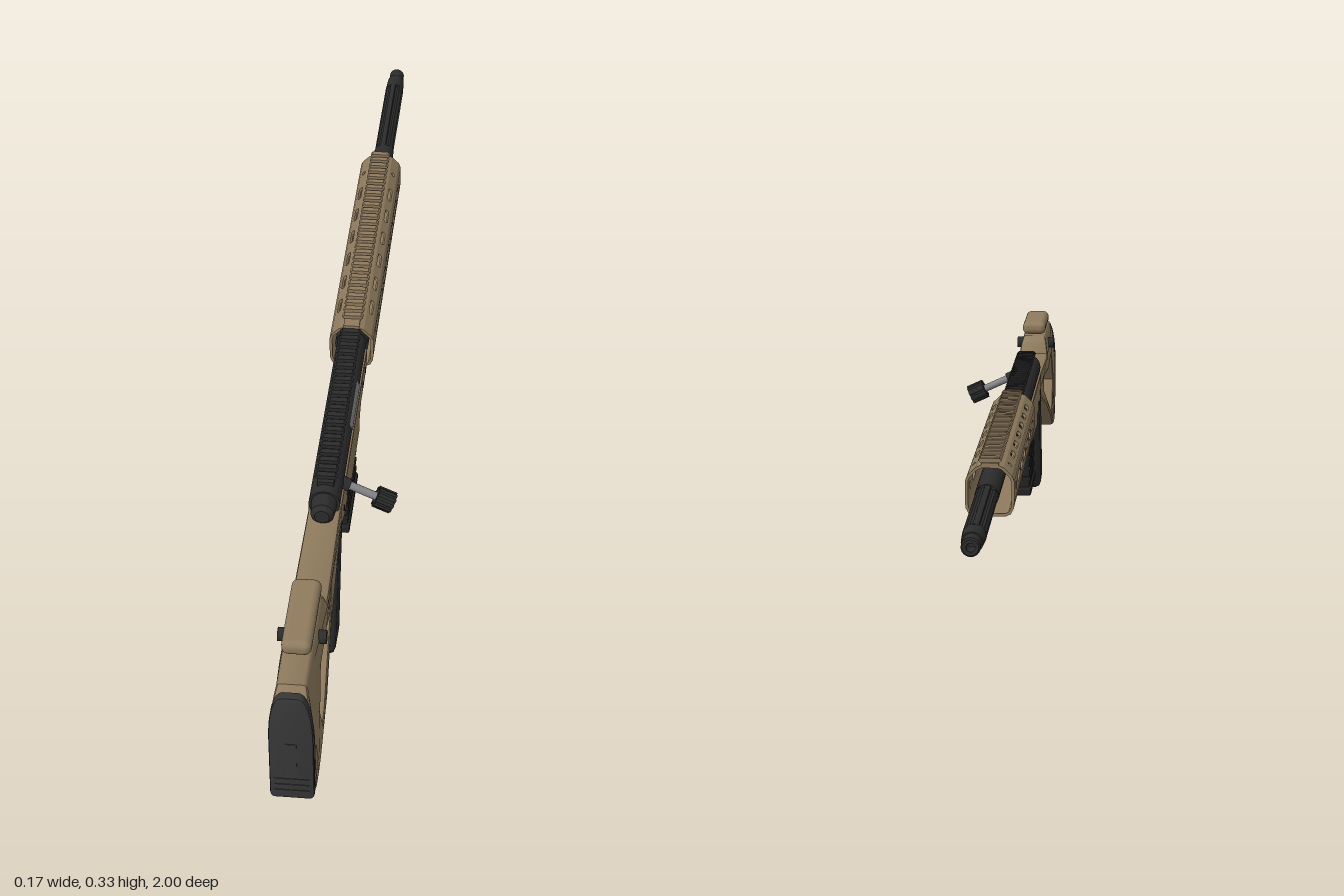
import * as THREE from 'three';
import { toCreasedNormals } from 'three/addons/utils/BufferGeometryUtils.js';
import { RoundedBoxGeometry } from 'three/addons/geometries/RoundedBoxGeometry.js';

const CX = -0.042; // centre plane of the rifle
const AXIS_Y = 0.278; // bore height

const mat = (name, color) => Object.assign(new THREE.MeshStandardMaterial({ color }), { name });

export function createModel() {
  const tan = mat('tan', 0x8f7b5e);
  const black = mat('black', 0x2c2c2c);
  const rubber = mat('rubber', 0x383838);
  const magBlack = mat('magazineBlack', 0x232323);
  const steel = mat('steel', 0x85858a);
  const root = new THREE.Group();
  root.name = 'boltActionRifle';

  const add = (name, geo, material, x = 0, y = 0, z = 0, parent = root) => {
    const m = new THREE.Mesh(geo, material);
    m.name = name;
    m.position.set(x, y, z);
    parent.add(m);
    return m;
  };
  const group = (name) => {
    const g = new THREE.Group();
    g.name = name;
    root.add(g);
    return g;
  };
  const vectors = (pts) => pts.map(([a, b]) => new THREE.Vector2(a, b));
  const outline = (pts) => new THREE.Shape(vectors(pts));
  const hole = (pts) => new THREE.Path(vectors(pts));

  // Side profile of [z, y] points, extruded across the width and centred on x = 0
  const side = (pts, width, bevel = 0.004, holes = []) => {
    const s = outline(pts);
    s.holes = holes;
    const depth = width - 2 * bevel;
    const g = new THREE.ExtrudeGeometry(s, {
      depth, bevelThickness: bevel, bevelSize: bevel, bevelOffset: -bevel, bevelSegments: 2, curveSegments: 10,
    });
    return g.translate(0, 0, -depth / 2).rotateY(-Math.PI / 2);
  };
  // Round bar along z
  const barZ = (r0, r1, z0, z1, n = 24) =>
    new THREE.CylinderGeometry(r1, r0, z1 - z0, n).rotateX(Math.PI / 2).translate(0, 0, (z0 + z1) / 2);
  // Round bar between two points
  const rod = (name, a, b, r, material, n = 16, parent = root) => {
    const A = new THREE.Vector3(...a), d = new THREE.Vector3(...b).sub(A);
    const m = add(name, new THREE.CylinderGeometry(r, r, d.length(), n), material, 0, 0, 0, parent);
    m.position.copy(A).addScaledVector(d, 0.5);
    m.quaternion.setFromUnitVectors(new THREE.Vector3(0, 1, 0), d.normalize());
  };

  // --- Skeleton stock: narrower towards the front and towards the comb
  const slingHole = new THREE.Path().absarc(0.945, 0.085, 0.009, 0, Math.PI * 2, true);
  const stock = side(
    [[0.985, 0.275], [0.968, 0.297], [0.76, 0.297], [0.742, 0.285], [0.73, 0.262], [0.7, 0.256], [0.47, 0.262],
      [0.45, 0.225], [0.517, 0.207], [0.68, 0.16], [0.8, 0.108], [0.9, 0.064], [0.93, 0.058], [0.972, 0.06],
      [0.985, 0.075], [0.985, 0.2]],
    0.074, 0.007,
    [hole([[0.858, 0.236], [0.897, 0.172], [0.86, 0.108], [0.835, 0.112], [0.642, 0.2], [0.638, 0.222], [0.66, 0.226],
      [0.735, 0.224], [0.775, 0.236]]), slingHole]);
  const p = stock.attributes.position;
  for (let i = 0; i < p.count; i++) {
    const rear = THREE.MathUtils.smoothstep(p.getZ(i), 0.62, 0.78);
    const up = THREE.MathUtils.clamp((p.getY(i) - 0.2) / 0.1, 0, 1);
    p.setX(i, p.getX(i) * (0.78 + 0.22 * rear) * (1 - 0.38 * up * up * rear));
  }
  add('stock', toCreasedNormals(stock, 0.6), tan, CX);

  // --- Butt pad with a tapered, rounded top and shallow ridges
  const pad = new THREE.Shape();
  pad.moveTo(-0.027, 0.066);
  pad.lineTo(0.027, 0.066);
  pad.quadraticCurveTo(0.037, 0.066, 0.037, 0.078);
  pad.lineTo(0.037, 0.205);
  pad.bezierCurveTo(0.036, 0.25, 0.03, 0.295, 0.012, 0.295);
  pad.lineTo(-0.012, 0.295);
  pad.bezierCurveTo(-0.03, 0.295, -0.036, 0.25, -0.037, 0.205);
  pad.lineTo(-0.037, 0.078);
  pad.quadraticCurveTo(-0.037, 0.066, -0.027, 0.066);
  add('buttPad', toCreasedNormals(new THREE.ExtrudeGeometry(pad, {
    depth: 0.009, bevelThickness: 0.004, bevelSize: 0.004, bevelOffset: -0.004, bevelSegments: 2,
  }), 0.7), rubber, CX, 0, 0.986);
  for (let i = 0; i < 3; i++) add('padRidge', new THREE.BoxGeometry(0.058, 0.003, 0.003), rubber, CX, 0.085 + i * 0.013, 0.9985);
  add('padInset', new THREE.BoxGeometry(0.018, 0.075, 0.002), rubber, CX, 0.155, 0.999);

  // --- Cheek rest on two posts, with clamp knobs
  add('cheekRest', new RoundedBoxGeometry(0.05, 0.028, 0.165, 4, 0.012), tan, CX, 0.316, 0.828);
  for (const z of [0.79, 0.865]) rod('cheekPost', [CX, 0.28, z], [CX, 0.31, z], 0.009, black);
  for (const s of [-1, 1]) {
    rod('cheekKnob', [CX + s * 0.024, 0.271, 0.826], [CX + s * 0.041, 0.271, 0.826], 0.012, black, 12);
  }

  // --- Pistol grip
  add('grip', toCreasedNormals(side(
    [[0.447, 0.235], [0.53, 0.222], [0.537, 0.2], [0.575, 0.09], [0.603, 0.022], [0.597, 0.012], [0.53, 0.004],
      [0.517, 0.012], [0.503, 0.06], [0.47, 0.16], [0.452, 0.2]], 0.056, 0.012), 0.8), black, CX);
  rod('gripScrew', [CX, 0, 0.555], [CX, 0.02, 0.555], 0.006, black, 10);

  // --- Chassis
  add('chassis', toCreasedNormals(side(
    [[0.485, 0.264], [0.015, 0.264], [0.015, 0.228], [0.135, 0.226], [0.16, 0.212], [0.168, 0.184], [0.342, 0.18],
      [0.36, 0.2], [0.44, 0.203], [0.47, 0.215], [0.49, 0.235]], 0.06, 0.004), 0.5), tan, CX);
  for (const s of [-1, 1]) {
    for (const [z, y] of [[0.45, 0.232], [0.39, 0.218], [0.06, 0.246], [0.105, 0.246]]) {
      rod('chassisScrew', [CX + s * 0.028, y, z], [CX + s * 0.0315, y, z], 0.006, black, 10);
    }
  }

  // --- Trigger guard and trigger
  add('triggerGuard', toCreasedNormals(side(
    [[0.46, 0.21], [0.455, 0.172], [0.435, 0.154], [0.37, 0.156], [0.345, 0.178], [0.338, 0.21]], 0.024, 0.001,
    [hole([[0.449, 0.203], [0.446, 0.176], [0.431, 0.162], [0.374, 0.164], [0.354, 0.182], [0.349, 0.203]])]), 0.5), tan, CX);
  add('trigger', side([[0.412, 0.21], [0.398, 0.21], [0.4, 0.185], [0.39, 0.168], [0.397, 0.167], [0.409, 0.184]], 0.01, 0.001), black, CX);

  // --- Magazine with ribs and floor plate
  add('magazine', new RoundedBoxGeometry(0.046, 0.12, 0.144, 2, 0.004), magBlack, CX, 0.137, 0.256);
  for (let i = 0; i < 4; i++) add('magazineRib', new THREE.BoxGeometry(0.05, 0.009, 0.147), magBlack, CX, 0.105 + i * 0.022, 0.256);
  add('magazineFloor', new RoundedBoxGeometry(0.054, 0.016, 0.164, 2, 0.004), magBlack, CX, 0.08, 0.255);

  // --- Receiver, bolt shroud and exposed bolt body
  add('receiver', barZ(0.028, 0.028, 0, 0.495), black, CX, AXIS_Y - 0.002);
  const lathe = (pts) => toCreasedNormals(new THREE.LatheGeometry(vectors(pts), 24), 0.5);
  add('boltShroud', lathe([[0, 0], [0.013, 0], [0.021, 0.008], [0.023, 0.03], [0.023, 0.06], [0, 0.06]])
    .rotateX(-Math.PI / 2), black, CX, AXIS_Y, 0.533);
  add('boltBody', new THREE.CylinderGeometry(0.0288, 0.0288, 0.135, 8, 1, true, Math.PI / 2 - 0.05, 0.62)
    .rotateX(Math.PI / 2), steel, CX, AXIS_Y - 0.002, 0.22);

  // --- Bolt handle with a grooved knob
  const bolt = group('boltHandle');
  rod('boltHandleRoot', [-0.03, 0.276, 0.425], [-0.005, 0.264, 0.425], 0.012, black, 16, bolt);
  rod('boltHandleShaft', [-0.025, 0.274, 0.425], [0.05, 0.239, 0.425], 0.0075, steel, 16, bolt);
  rod('boltKnob', [0.043, 0.242, 0.425], [0.073, 0.228, 0.425], 0.018, black, 20, bolt);
  for (let i = 0; i < 10; i++) {
    const a = (i / 10) * Math.PI * 2, u = Math.cos(a) * 0.0165, z = 0.425 + Math.sin(a) * 0.0165;
    rod('knobRidge', [0.0425 + u * 0.423, 0.2425 + u * 0.906, z], [0.0735 + u * 0.423, 0.228 + u * 0.906, z], 0.0036, black, 6, bolt);
  }

  // --- Fluted barrel and muzzle
  const flutes = [];
  for (let i = 0; i < 48; i++) {
    const a = (i / 48) * Math.PI * 2, r = i % 8 < 3 ? 0.0158 : 0.0195;
    flutes.push([Math.cos(a) * r, Math.sin(a) * r]);
  }
  add('barrelRear', barZ(0.0205, 0.022, -0.67, 0.02), black, CX, AXIS_Y);
  add('barrelFluted', toCreasedNormals(new THREE.ExtrudeGeometry(outline(flutes), { depth: 0.26, bevelEnabled: false }), 0.4),
    black, CX, AXIS_Y, -0.93);
  add('barrelFront', barZ(0.0175, 0.0195, -0.97, -0.925), black, CX, AXIS_Y);
  add('muzzle', lathe([[0.007, 0.03], [0.007, 0], [0.013, 0], [0.0155, 0.003], [0.0155, 0.035]])
    .rotateX(Math.PI / 2), black, CX, AXIS_Y, -1);

  // --- Handguard: flat panels around a cross-section, with slots cut through
  const guard = group('handguard');
  const REAR = 0.02, LEN = 0.62;
  const slot = (start, len, mid, h) => {
    const r = h / 2, s = new THREE.Path();
    s.absarc(start + len - r, mid, r, -Math.PI / 2, Math.PI / 2, false);
    s.absarc(start + r, mid, r, Math.PI / 2, Math.PI * 1.5, false);
    return s;
  };
  const half = [[0, 0.226], [0.027, 0.226], [0.036, 0.23], [0.041, 0.24], [0.042, 0.25], [0.042, 0.287],
    [0.038, 0.297], [0.024, 0.311], [0.015, 0.315], [0, 0.315]];
  const section = [...half, ...half.slice(1, -1).reverse().map(([x, y]) => [-x, y])];
  section.forEach(([x0, y0], i) => {
    const [x1, y1] = section[(i + 1) % section.length];
    const w = Math.hypot(x1 - x0, y1 - y0);
    const s = outline([[0, 0], [LEN, 0], [LEN, w], [0, w]]);
    const isSide = w > 0.03, isBevel = w > 0.019 && w < 0.021 && y0 > 0.29;
    if (isSide || isBevel) {
      const h = isSide ? 0.015 : 0.009, len = isSide ? 0.06 : 0.042;
      for (let k = 0; k < 6; k++) s.holes.push(slot(0.085 + k * 0.08 - len / 2, len, w / 2, h));
      s.holes.push(slot(0.558, h + 0.001, w / 2, h));
    }
    const geo = new THREE.ExtrudeGeometry(s, { depth: 0.005, bevelEnabled: false, curveSegments: 6 });
    // Panel axes: towards the muzzle, across the panel, outward
    const across = new THREE.Vector3((x1 - x0) / w, (y1 - y0) / w, 0);
    const along = new THREE.Vector3(0, 0, -1);
    const out = along.clone().cross(across);
    geo.translate(0, 0, -0.005).applyMatrix4(new THREE.Matrix4().makeBasis(along, across, out));
    add('handguardPanel', geo, tan, CX + x0, y0, REAR, guard);
  });
  add('barrelNut', barZ(0.032, 0.032, -0.04, 0.015), black, CX, AXIS_Y - 0.006, 0, guard);

  // --- Top rails: a base strip with evenly spaced teeth
  const rail = (name, z0, z1, base, top, material) => {
    const g = group(name);
    const pitch = 0.0215, n = Math.floor((z1 - z0) / pitch);
    add('railBase', new THREE.BoxGeometry(0.03, top - base - 0.007, z1 - z0), material, CX, (base + top - 0.007) / 2, (z0 + z1) / 2, g);
    const tooth = new THREE.ExtrudeGeometry(
      outline([[-0.015, 0], [0.015, 0], [0.02, 0.004], [0.016, 0.008], [-0.016, 0.008], [-0.02, 0.004]]),
      { depth: 0.012, bevelEnabled: false });
    for (let i = 0; i < n; i++) add('railTooth', tooth, material, CX, top - 0.008, z0 + 0.004 + i * pitch, g);
  };
  rail('receiverRail', 0.02, 0.475, 0.29, 0.316, black);
  rail('handguardRail', -0.6, 0.02, 0.31, 0.326, tan);

  return root;
}
